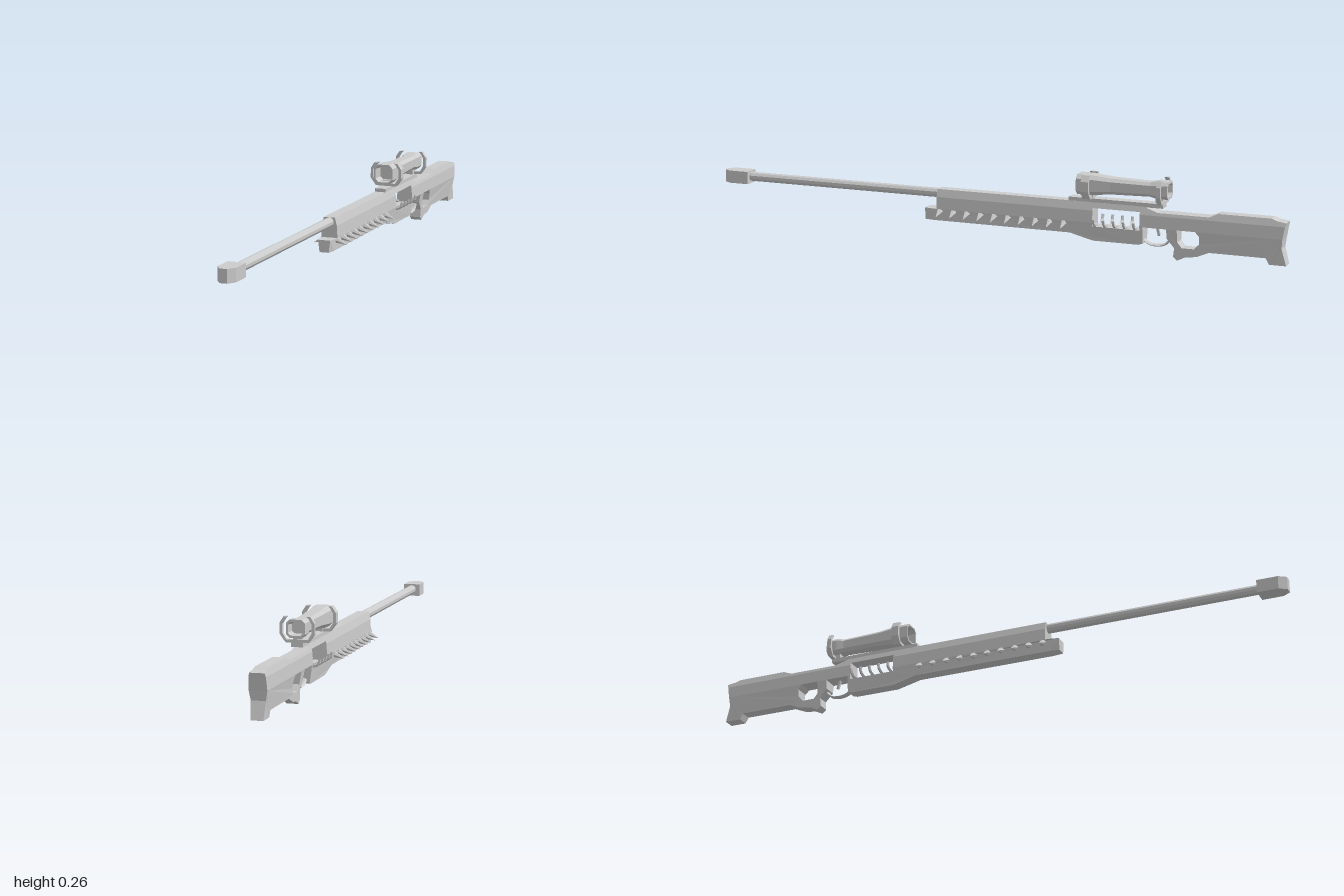
import * as THREE from 'three';

const material = new THREE.MeshStandardMaterial({ color: 0xcccccc, flatShading: true });

// Half width of the body by height, pinched at the tip of the fore-end
const widths = [[0, 0.019], [0.06, 0.021], [0.1, 0.028], [0.14, 0.026], [0.182, 0.015]];
function halfWidth(y, z) {
  let w = widths[widths.length - 1][1];
  for (let i = widths.length - 2; i >= 0; i--) {
    const [y0, w0] = widths[i], [y1, w1] = widths[i + 1];
    if (y <= y1) w = THREE.MathUtils.lerp(w0, w1, Math.max(0, (y - y0) / (y1 - y0)));
  }
  return z > 0.22 ? w * 0.75 : w;
}

function toShape(points) {
  return new THREE.Shape(points.map(([a, b]) => new THREE.Vector2(a, b)));
}

// Side outline (z, y) pushed out across x, with the width following the height
function sideProfile(points) {
  const geo = new THREE.ExtrudeGeometry(toShape(points), { depth: 2, bevelEnabled: false });
  geo.translate(0, 0, -1).rotateY(-Math.PI / 2);
  const p = geo.attributes.position;
  for (let i = 0; i < p.count; i++) p.setX(i, p.getX(i) * halfWidth(p.getY(i), p.getZ(i)));
  geo.computeVertexNormals();
  return geo;
}

// Chamfered rectangles [z, halfWidth, halfHeight] joined along z, closed at both ends
function chamferedLoft(sections, centreY) {
  const pos = [], index = [], n = 8;
  for (const [z, w, h] of sections) {
    const c = Math.min(w, h) * 0.4;
    const ring = [[w, c - h], [w, h - c], [w - c, h], [c - w, h], [-w, h - c], [-w, c - h], [c - w, -h], [w - c, -h]];
    for (const [x, y] of ring) pos.push(x, centreY + y, z);
  }
  const last = (sections.length - 1) * n;
  for (let i = 0; i < last; i += n) {
    for (let j = 0; j < n; j++) {
      const k = (j + 1) % n;
      index.push(i + j, i + k, i + n + k, i + j, i + n + k, i + n + j);
    }
  }
  for (let j = 1; j < n - 1; j++) {
    index.push(0, j + 1, j, last, last + j, last + j + 1);
  }
  const geo = new THREE.BufferGeometry();
  geo.setAttribute('position', new THREE.Float32BufferAttribute(pos, 3));
  geo.setIndex(index);
  const flat = geo.toNonIndexed();
  flat.computeVertexNormals();
  return flat;
}

export function createModel() {
  const model = new THREE.Group();
  const add = (name, geo, x = 0, y = 0, z = 0) => {
    const mesh = new THREE.Mesh(geo, material);
    mesh.name = name;
    mesh.position.set(x, y, z);
    model.add(mesh);
    return mesh;
  };
  const box = (name, w, h, d, y, z) => add(name, new THREE.BoxGeometry(w, h, d), 0, y, z);

  // Barrel and its blunt end block
  add('barrel', new THREE.CylinderGeometry(0.016, 0.016, 0.78, 10).rotateX(Math.PI / 2), 0, 0.15, 0.54);
  const block = new THREE.ExtrudeGeometry(
    toShape([[-0.029, 0.905], [0.029, 0.905], [0.029, 0.975], [0.012, 1], [-0.012, 1], [-0.029, 0.975]]),
    { depth: 0.043, bevelEnabled: false });
  add('muzzleBlock', block.rotateX(Math.PI / 2), 0, 0.17, 0);

  // Fore-end, with the floor of the side window cut into its top edge
  add('foreEnd', sideProfile([
    [0.235, 0.06], [0.235, 0.1], [0.2, 0.1], [-0.36, 0.1], [-0.36, 0.088], [-0.52, 0.088], [-0.52, 0.1],
    [-0.53, 0.1], [-0.53, 0.045], [-0.515, 0.04], [-0.36, 0.04], [-0.28, 0.06], [0.2, 0.06],
  ]));

  // Middle band of the body, split by the window
  add('receiverFront', sideProfile([[0.19, 0.1], [0.19, 0.14], [-0.36, 0.14], [-0.36, 0.1]]));
  add('receiverRear', sideProfile([
    [-0.52, 0.1], [-0.52, 0.14], [-0.995, 0.14], [-0.988, 0.1],
  ]));

  // Top band of the body, running back into the raised cheek piece
  add('bodyTop', sideProfile([
    [0.19, 0.14], [0.19, 0.166], [-0.27, 0.166], [-0.53, 0.166], [-0.58, 0.15], [-0.75, 0.15], [-0.78, 0.163],
    [-0.95, 0.163], [-0.97, 0.156], [-0.998, 0.152], [-0.995, 0.14], [-0.52, 0.14], [-0.52, 0.148], [-0.36, 0.148],
    [-0.36, 0.14],
  ]));

  // Grip and lower stock around the thumb hole
  add('stock', sideProfile([
    [-0.61, 0.1], [-0.645, 0.1], [-0.645, 0.06], [-0.66, 0.042], [-0.7, 0.042], [-0.718, 0.06], [-0.718, 0.085],
    [-0.705, 0.1], [-0.988, 0.1], [-0.985, 0.07], [-1, 0.015], [-0.945, 0.015], [-0.935, 0.035], [-0.75, 0.035],
    [-0.71, 0.018], [-0.67, 0.012], [-0.645, 0], [-0.632, 0.012], [-0.635, 0.04], [-0.61, 0.07],
  ]));

  // Trigger and guard
  const guard = new THREE.CatmullRomCurve3([
    [0.058, -0.525], [0.044, -0.545], [0.04, -0.57], [0.046, -0.6], [0.068, -0.62],
  ].map(([y, z]) => new THREE.Vector3(0, y, z)));
  add('triggerGuard', new THREE.TubeGeometry(guard, 12, 0.004, 6).scale(3, 1, 1));
  box('trigger', 0.008, 0.03, 0.008, 0.086, -0.575).rotation.x = 0.25;

  // Rail and sight mounts
  box('rail', 0.038, 0.014, 0.32, 0.171, -0.435);
  for (const z of [-0.345, -0.58]) box('sightMount', 0.026, 0.024, 0.024, 0.185, z);

  // Hollow-ended sight tube
  add('sight', chamferedLoft([
    [-0.58, 0.02, 0.018], [-0.612, 0.024, 0.021], [-0.612, 0.03, 0.028], [-0.575, 0.03, 0.028], [-0.55, 0.025, 0.023],
    [-0.42, 0.028, 0.026], [-0.35, 0.034, 0.033], [-0.305, 0.034, 0.033], [-0.305, 0.029, 0.028], [-0.35, 0.027, 0.026],
  ], 0.222));

  // Open clamps around the sight
  const side = [[0.036, 0.178], [0.055, 0.204], [0.055, 0.237], [0.042, 0.257], [0.03, 0.257],
    [0.037, 0.25], [0.046, 0.235], [0.046, 0.207], [0.034, 0.187]];
  const clamp = toShape([...side, ...side.map(([x, y]) => [-x, y]).reverse()]);
  for (const [z, depth] of [[-0.355, 0.026], [-0.597, 0.014]]) {
    add('sightClamp', new THREE.ExtrudeGeometry(clamp, { depth, bevelEnabled: false }), 0, 0, z);
  }

  // Spikes along the fore-end and small hooks on the window floor
  const up = new THREE.Vector3(0, 1, 0);
  for (const s of [1, -1]) {
    for (let i = 0; i < 10; i++) {
      const spike = add('spike', new THREE.ConeGeometry(0.011, 0.038, 6), s * 0.04, 0.085, 0.18 - i * 0.049);
      spike.quaternion.setFromUnitVectors(up, new THREE.Vector3(s, -0.42, 0).normalize());
    }
    const hook = new THREE.CatmullRomCurve3([
      [0.015, 0.092], [0.03, 0.094], [0.042, 0.1], [0.046, 0.116],
    ].map(([x, y]) => new THREE.Vector3(s * x, y, 0)));
    for (let i = 0; i < 5; i++) {
      add('hook', new THREE.TubeGeometry(hook, 6, 0.005, 5), 0, 0, -0.37 - i * 0.034);
    }
  }
  return model;
}
